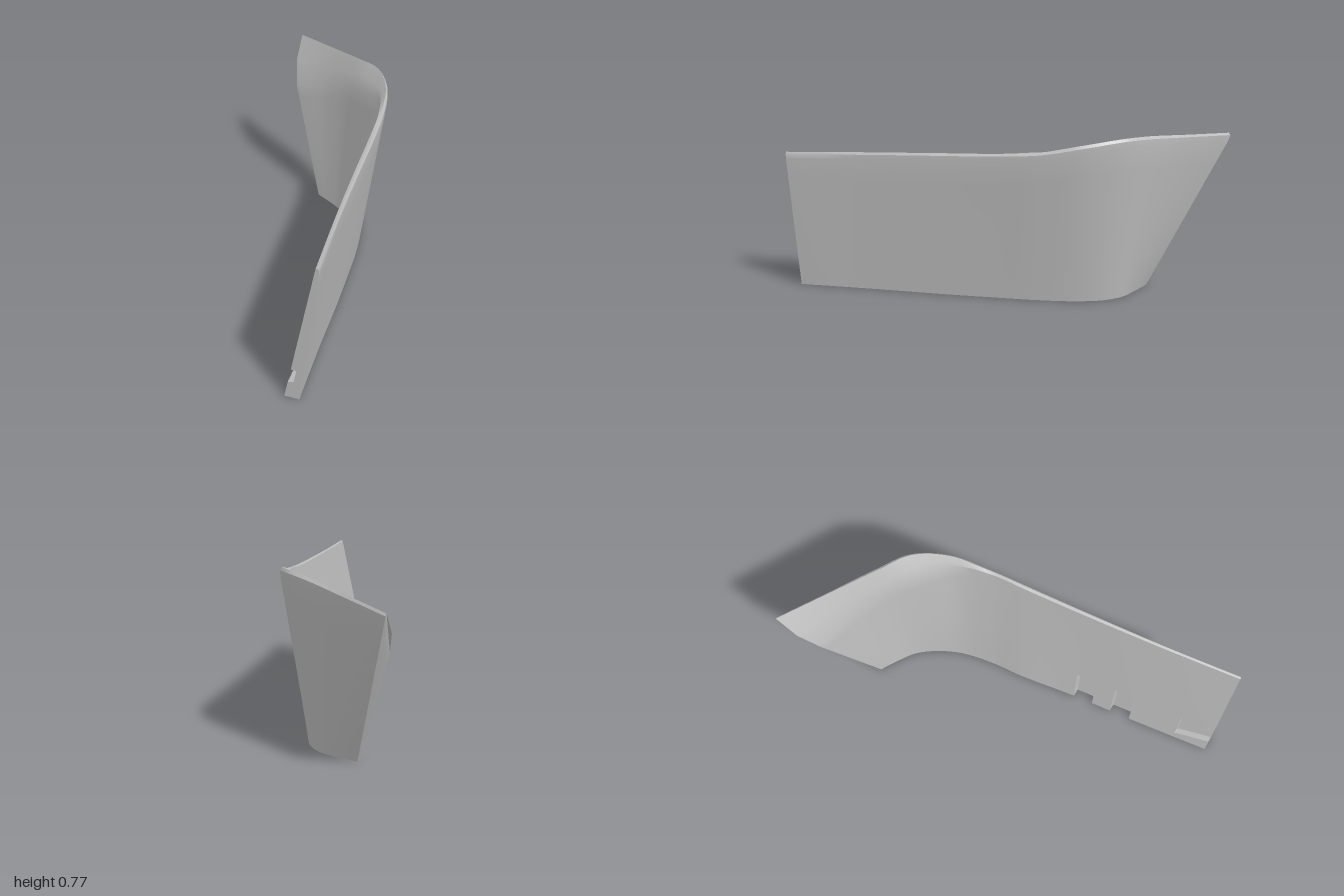
import * as THREE from 'three';
import { toCreasedNormals } from 'three/addons/utils/BufferGeometryUtils.js';

const curve = (pts) => new THREE.CatmullRomCurve3(pts.map((p) => new THREE.Vector3(...p)));

// Guide curves, front to back, with matching stations
const outerBottom = curve([[-.108, 0, .97], [-.043, 0, .62], [.018, 0, .32], [.065, 0, .06], [.092, 0, -.1],
  [.108, 0, -.28], [.095, 0, -.41], [.05, 0, -.5], [-.02, 0, -.56], [-.1, 0, -.62]]);
const innerBottom = curve([[-.17, 0, .95], [-.103, 0, .6], [-.042, 0, .3], [0, 0, .05], [.035, 0, -.1],
  [.052, 0, -.25], [.038, 0, -.37], [.005, 0, -.465], [-.045, 0, -.535], [-.108, 0, -.608]]);
const outerTop = curve([[-.02, .655, 1], [.047, .671, .64], [.117, .686, .31], [.172, .698, .06], [.21, .715, -.13],
  [.228, .75, -.32], [.187, .768, -.49], [.1, .757, -.61], [-.052, .727, -.805], [-.2, .697, -1]]);
const crease = curve([[-.037, .652, .995], [.028, .668, .635], [.095, .683, .3], [.148, .695, .05], [.184, .712, -.13],
  [.187, .715, -.28], [.133, .672, -.4], [.045, .625, -.55], [-.07, .57, -.68], [-.222, .505, -.81]]);
const SPANS = 9;

const OUTER_ROWS = [0, .1, .14, .2, .25, .4, .6, .8, .95];
const INNER_ROWS = [0, .115, .118, .215, .218, .4, .6, .8, .9, 1];
const ROWS = OUTER_ROWS.length + 2;

// Recesses in the inner face: station range, row range, depth
const RECESSES = [
  { from: -1, to: .43, rowFrom: 2, rowTo: 3, depth: .024 },
  { from: 1.07, to: 1.37, rowFrom: 0, rowTo: 3, depth: .035 },
  { from: 1.67, to: 1.97, rowFrom: 0, rowTo: 3, depth: .035 },
];

// One cross-section: up the outer face, over the rim, down the bevel and inner face
function section(k) {
  const t = k / SPANS;
  const [ob, ib, ot, cr] = [outerBottom, innerBottom, outerTop, crease].map((c) => c.getPoint(t));
  const outer = OUTER_ROWS.map((v) => ob.clone().lerp(ot, v));
  const inward = cr.clone().sub(ot).setY(0);
  const width = Math.min(inward.length() * .5, .018);
  inward.normalize();
  const shoulder = ob.clone().lerp(ot, .985).addScaledVector(inward, width * .25);
  const rim = ot.clone().addScaledVector(inward, width);
  outer.push(shoulder, rim);

  const flare = Math.min(k / .43, 1);
  const inner = INNER_ROWS.map((v, j) => {
    let w = v;
    if (j === 1 || j === 2) w -= .055 * flare;
    if (j === 3 || j === 4) w += .065 * flare;
    const p = ib.clone().lerp(cr, w);
    const r = RECESSES.find((q) => k > q.from && k < q.to && j >= q.rowFrom && j <= q.rowTo);
    if (r) p.addScaledVector(ob.clone().lerp(ot, w).sub(p).normalize(), r.depth);
    return p;
  });
  // Slightly bulged bevel towards the tail
  const bevel = cr.clone().lerp(rim, .5);
  bevel.x -= .014 * Math.max(0, (k - 5) / 4);
  inner.push(bevel);
  return [...outer, ...inner.reverse()];
}

function panelGeometry() {
  const stations = [];
  for (let i = 0; i <= 72; i++) stations.push(i * SPANS / 72);
  // Doubled stations give the recesses steep end walls
  for (const r of RECESSES) {
    for (const e of [r.from, r.to]) if (e > 0) stations.push(e - .004, e + .004);
  }
  stations.sort((a, b) => a - b);

  const positions = [], index = [];
  for (const k of stations) for (const p of section(k)) positions.push(p.x, p.y, p.z);
  const loop = ROWS * 2;
  for (let i = 0; i < stations.length - 1; i++) {
    for (let j = 0; j < loop; j++) {
      const a = i * loop + j, c = i * loop + (j + 1) % loop;
      index.push(a, a + loop, c, c, a + loop, c + loop);
    }
  }
  // End faces join matching outer and inner rows
  const last = (stations.length - 1) * loop;
  for (let j = 0; j < ROWS - 1; j++) {
    const o = j, o2 = j + 1, n = loop - 1 - j, n2 = n - 1;
    index.push(o, o2, n, o2, n2, n);
    index.push(last + o, last + n, last + o2, last + o2, last + n, last + n2);
  }
  const geometry = new THREE.BufferGeometry();
  geometry.setAttribute('position', new THREE.Float32BufferAttribute(positions, 3));
  geometry.setIndex(index);
  return toCreasedNormals(geometry, .55);
}

export function createModel() {
  const group = new THREE.Group();
  group.name = 'curvedPanel';
  const grey = new THREE.MeshStandardMaterial({ color: 0xbcbcbc });
  grey.name = 'lightGrey';
  const panel = new THREE.Mesh(panelGeometry(), grey);
  panel.name = 'panel';
  group.add(panel);
  return group;
}
